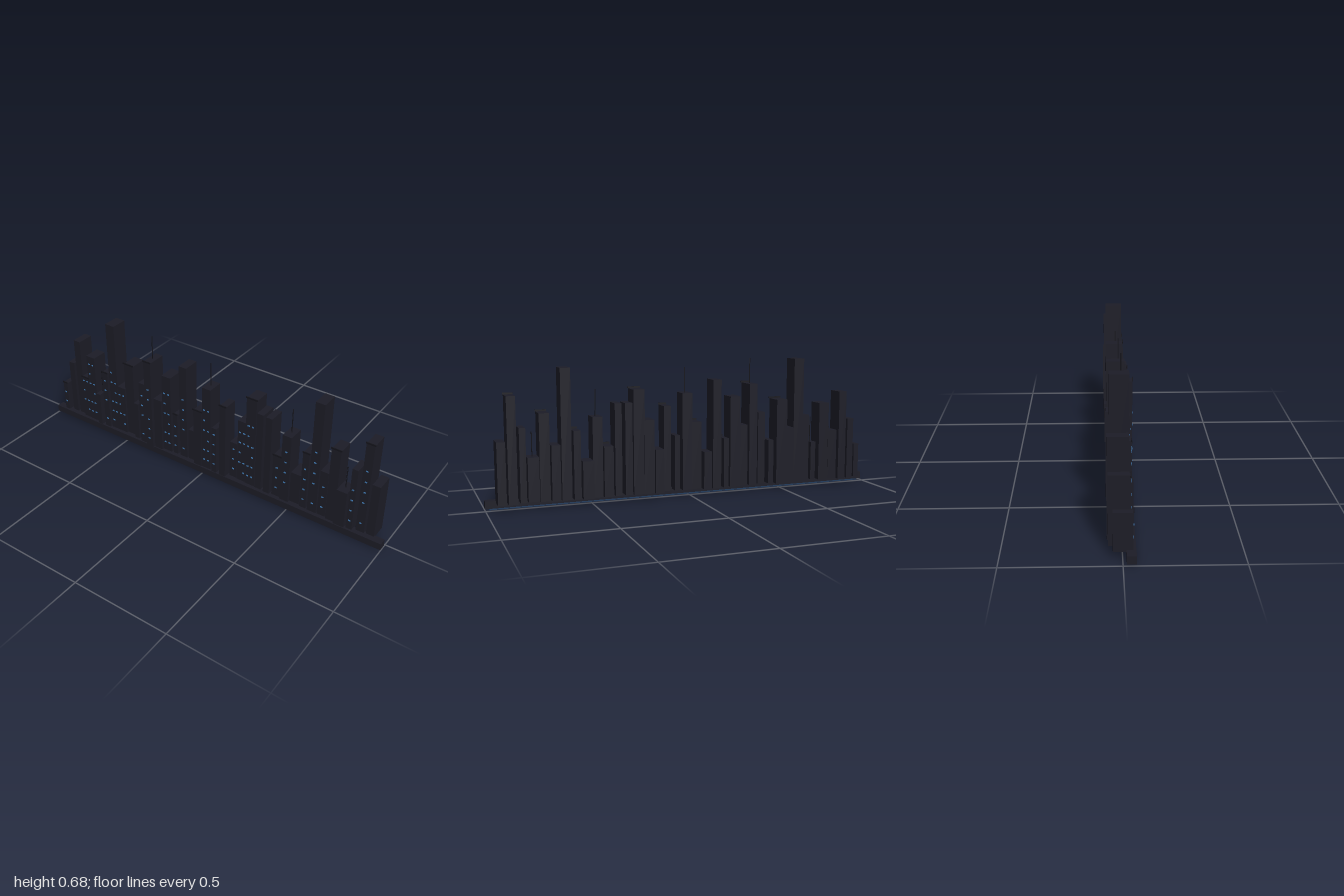
import * as THREE from 'three';

const material = (color) => new THREE.MeshStandardMaterial({ color, flatShading: true });

// Towers from left to right: [width, top, back z]
const TOWERS = [
  [.028, .21, -.04], [.035, .35, -.059], [.042, .495, -.063], [.05, .292, -.048], [.055, .437, -.046],
  [.027, .232, -.027], [.036, .378, -.037], [.054, .67, -.049], [.052, .318, -.05], [.058, .466, -.063],
  [.028, .258, -.043], [.038, .403, -.033], [.043, .549, -.043], [.048, .342, -.032], [.054, .49, -.048],
  [.026, .283, -.053], [.044, .577, -.055], [.042, .222, -.06], [.05, .37, -.032], [.05, .515, -.037],
  [.027, .308, -.03], [.036, .455, -.028], [.042, .249, -.063], [.05, .395, -.058], [.056, .543, -.053],
  [.036, .48, -.05], [.034, .48, -.045], [.046, .279, -.055], [.048, .42, -.043], [.054, .215, -.063],
  [.034, .361, -.053], [.048, .655, -.05], [.042, .298, -.053], [.048, .449, -.043], [.054, .243, -.03],
  [.03, .385, -.04], [.042, .535, -.058], [.04, .328, -.063],
];
const SPACING = 0.0504, FIRST_X = -0.934, FOOT = 0.034;
const MASTS = { 5: 0.36, 12: 0.675, 19: 0.64, 28: 0.547, 34: 0.36 };
const FORWARD = 12; // the one tower standing proud of the plinth

export function createModel() {
  const model = new THREE.Group();
  model.name = 'skyline';
  const dark = material(0x1c1c26), trim = material(0x15151c);
  const glow = material(0x3f78b0), strip = material(0x1f3a5c);

  const box = (parent, name, mat, w, h, d, x, y, z) => {
    const mesh = new THREE.Mesh(new THREE.BoxGeometry(w, h, d), mat);
    mesh.name = name;
    mesh.position.set(x, y, z);
    parent.add(mesh);
  };

  // Long plinth along the front with a lit strip beneath it
  box(model, 'plinth', dark, 2, 0.035, 0.04, 0, 0.0255, 0.035);
  box(model, 'lightStrip', strip, 1.96, 0.012, 0.01, 0, 0.006, 0.026);

  TOWERS.forEach(([width, top, back], i) => {
    const tower = new THREE.Group();
    tower.name = 'tower' + (i + 1);
    tower.position.x = FIRST_X + i * SPACING;
    model.add(tower);

    // Towers set further back also have their fronts further back
    const front = i === FORWARD ? 0.06 : 0.026 + (back + 0.063) * 0.75;
    const midZ = (front + back) / 2;
    box(tower, 'towerBody', dark, width, top - FOOT, front - back, 0, (top + FOOT) / 2, midZ);

    // Cornice bar along the front roof edge of every third tower
    if (i % 3 === 0) box(tower, 'cornice', trim, width * 1.15, 0.008, 0.004, 0, top + 0.004, front + 0.001);

    // Roof mast
    if (MASTS[i]) {
      const length = MASTS[i] - top;
      const mast = new THREE.Mesh(new THREE.CylinderGeometry(0.0025, 0.0025, length, 6), trim);
      mast.name = 'mast';
      mast.position.set(0, top + length / 2, midZ);
      tower.add(mast);
    }

    // Lit windows in rows on part of the towers, two columns on the wide ones
    if (i % 4 === 1 || i % 8 === 2) return;
    const columns = width > 0.049 ? [-0.012, 0.012] : [0];
    for (let row = 0; row < 6; row++) {
      const y = 0.093 + row * 0.0595;
      if (y > top - 0.02) break;
      columns.forEach((x, c) => {
        if ((i + row * 2 + c) % 5 === 3) return;
        box(tower, 'window', glow, 0.011, 0.006, 0.003, x, y, front + 0.001);
      });
    }
  });
  return model;
}
